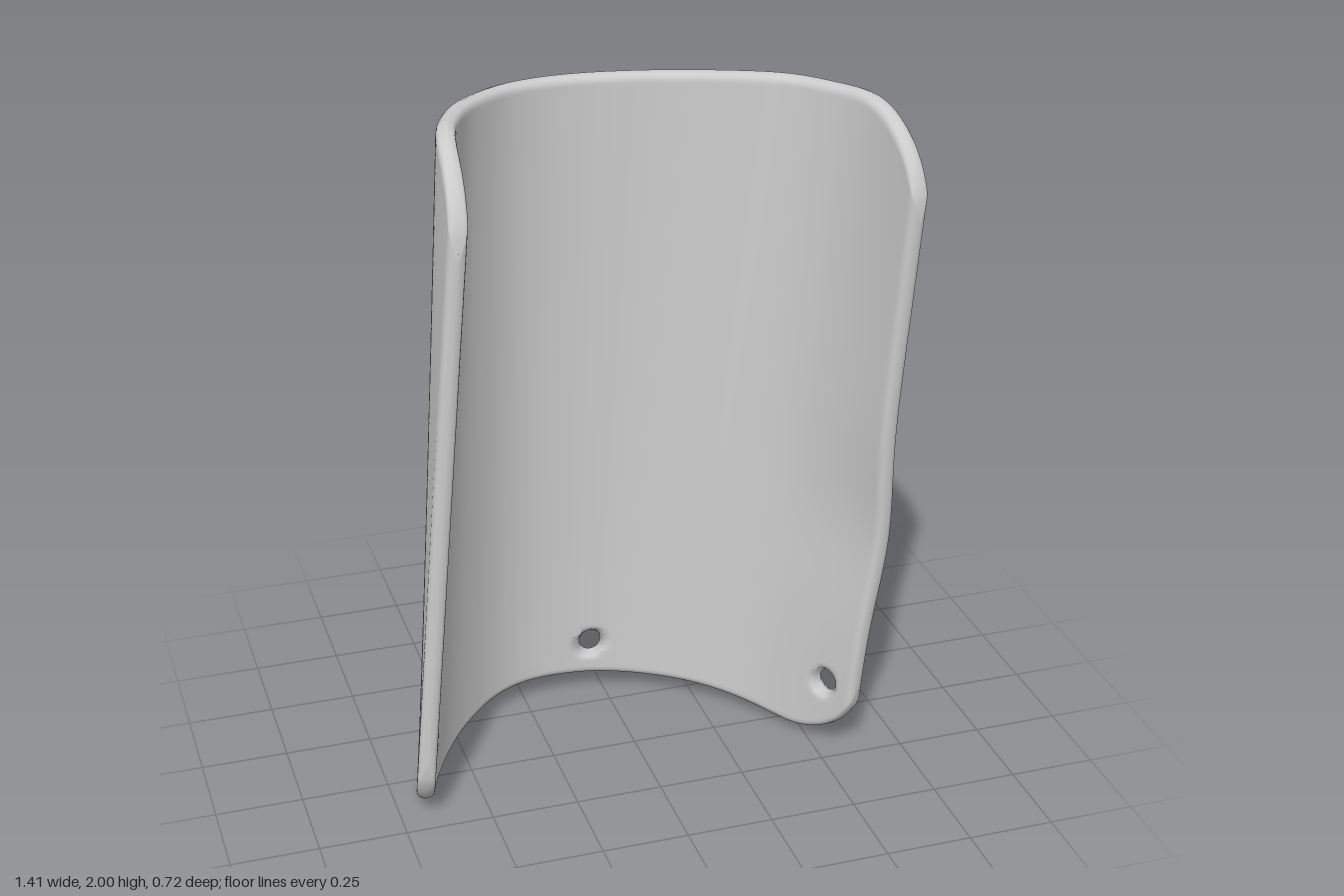
import * as THREE from 'three';
import { mergeVertices } from 'three/addons/utils/BufferGeometryUtils.js';

const N = 120;        // grid cells along and up the plate
const LENGTH = 1.93;  // arc length across the plate
const HALF = 0.026;   // half thickness
const HOLE_R = 0.033;

const spline = (pts) => new THREE.SplineCurve(pts.map(([a, b]) => new THREE.Vector2(a, b)));
const heights = (ys) => spline(ys.map((y, k) => [k / (ys.length - 1), y]));

// Cross-sections (x, z) of the plate's middle surface, from right end to left end
const bottomSection = spline([[-0.70, 0.24], [-0.63, 0.02], [-0.51, -0.16], [-0.36, -0.29], [-0.2, -0.34],
  [0, -0.325], [0.2, -0.235], [0.37, -0.08], [0.5, 0.1], [0.59, 0.25]]);
const topSection = spline([[-0.535, 0.3], [-0.53, 0.1], [-0.49, -0.04], [-0.41, -0.17], [-0.27, -0.28],
  [-0.1, -0.322], [0.1, -0.305], [0.3, -0.245], [0.48, -0.155], [0.58, -0.03], [0.645, 0.12], [0.69, 0.37]]);

// Heights of the lower and upper rim before the corners are rounded
const lowRim = heights([0, 0, 0.035, 0.06, 0.06, 0.05, 0.04, 0.02, 0.02]);
const highRim = heights([2, 2, 1.99, 1.98, 1.975, 1.975, 1.978, 1.985, 1.985]);

// Rivet holes: position across (0..1) and height
const holes = [{ u: 0.08, y: 0.18 }, { u: 0.517, y: 0.17 }, { u: 0.94, y: 0.21 }];

// Packs grid lines more densely near the borders
const ease = (t) => t - 0.6 * Math.sin(2 * Math.PI * t) / (2 * Math.PI);

// Amount a rounded corner cuts from the rim at a distance from the end
function cornerCut(dist, rx, ry) {
  const k = Math.max(0, 1 - dist / rx);
  return ry * (1 - Math.sqrt(Math.max(0, 1 - k * k)));
}

function rims(u) {
  const a = u * LENGTH, b = (1 - u) * LENGTH;
  return [
    lowRim.getPoint(u).y + cornerCut(a, 0.22, 0.2) + cornerCut(b, 0.25, 0.2),
    highRim.getPoint(u).y - cornerCut(a, 0.28, 0.28) - cornerCut(b, 0.32, 0.28),
  ];
}

// Middle surface, with a slight wave down the left edge
function section(u, y) {
  const p = bottomSection.getPointAt(u).lerp(topSection.getPointAt(u), y / 2);
  p.x += 0.025 * Math.exp(-(((y - 0.72) / 0.25) ** 2)) * THREE.MathUtils.smoothstep(u, 0.75, 1);
  return p;
}

function plateGeometry() {
  // Locate the grid crossing nearest to each hole
  const nearest = (f, v) => {
    let best = 0;
    for (let k = 1; k <= N; k++) if (Math.abs(f(k) - v) < Math.abs(f(best) - v)) best = k;
    return best;
  };
  for (const h of holes) {
    const [lo, hi] = rims(h.u);
    h.i = nearest((k) => ease(k / N), h.u);
    h.j = nearest((k) => lo + (hi - lo) * ease(k / N), h.y);
  }

  const inner = [], outer = [], index = [];
  for (let j = 0; j <= N; j++) {
    for (let i = 0; i <= N; i++) {
      let u = ease(i / N);
      const [lo, hi] = rims(u);
      let y = lo + (hi - lo) * ease(j / N);
      let edge = Math.min(u * LENGTH, (1 - u) * LENGTH, y - lo, hi - y);

      // Bend the grid lines around each hole into circles
      for (const h of holes) {
        const di = i - h.i, dj = j - h.j, ring = Math.max(Math.abs(di), Math.abs(dj));
        if (ring > 8) continue;
        const w = 1 - THREE.MathUtils.smoothstep(ring, 2, 9);
        const r = HOLE_R * ring / 2 / (Math.hypot(di, dj) || 1);
        u += (h.u + di * r / LENGTH - u) * w;
        y += (h.y + dj * r - y) * w;
        edge = Math.min(edge, Math.max(0, Math.hypot((u - h.u) * LENGTH, y - h.y) - HOLE_R));
        if (ring <= 2) edge = 0;
      }

      // Thickness rounds off to nothing at every border
      const k = 1 - Math.min(1, Math.max(0, edge) / HALF);
      const t = HALF * Math.sqrt(1 - k * k);
      const p = section(u, y);
      const d = section(Math.min(1, u + 0.004), y).sub(section(Math.max(0, u - 0.004), y)).normalize();
      inner.push(p.x - d.y * t, y, p.y + d.x * t);
      outer.push(p.x + d.y * t, y, p.y - d.x * t);
    }
  }

  // Inner and outer skins, leaving the holes open
  const back = (N + 1) ** 2;
  for (let j = 0; j < N; j++) {
    for (let i = 0; i < N; i++) {
      if (holes.some((h) => i >= h.i - 2 && i < h.i + 2 && j >= h.j - 2 && j < h.j + 2)) continue;
      const a = j * (N + 1) + i, b = a + 1, c = b + N + 1, d = a + N + 1;
      index.push(a, b, c, a, c, d);
      index.push(back + a, back + c, back + b, back + a, back + d, back + c);
    }
  }
  const geo = new THREE.BufferGeometry();
  geo.setAttribute('position', new THREE.Float32BufferAttribute([...inner, ...outer], 3));
  geo.setIndex(index);
  const welded = mergeVertices(geo, 1e-5);
  welded.computeVertexNormals();
  return welded;
}

export function createModel() {
  const group = new THREE.Group();
  group.name = 'curvedGuard';
  const plate = new THREE.Mesh(plateGeometry(), new THREE.MeshStandardMaterial({ color: 0xcccccc }));
  plate.name = 'guardPlate';
  group.add(plate);
  return group;
}
